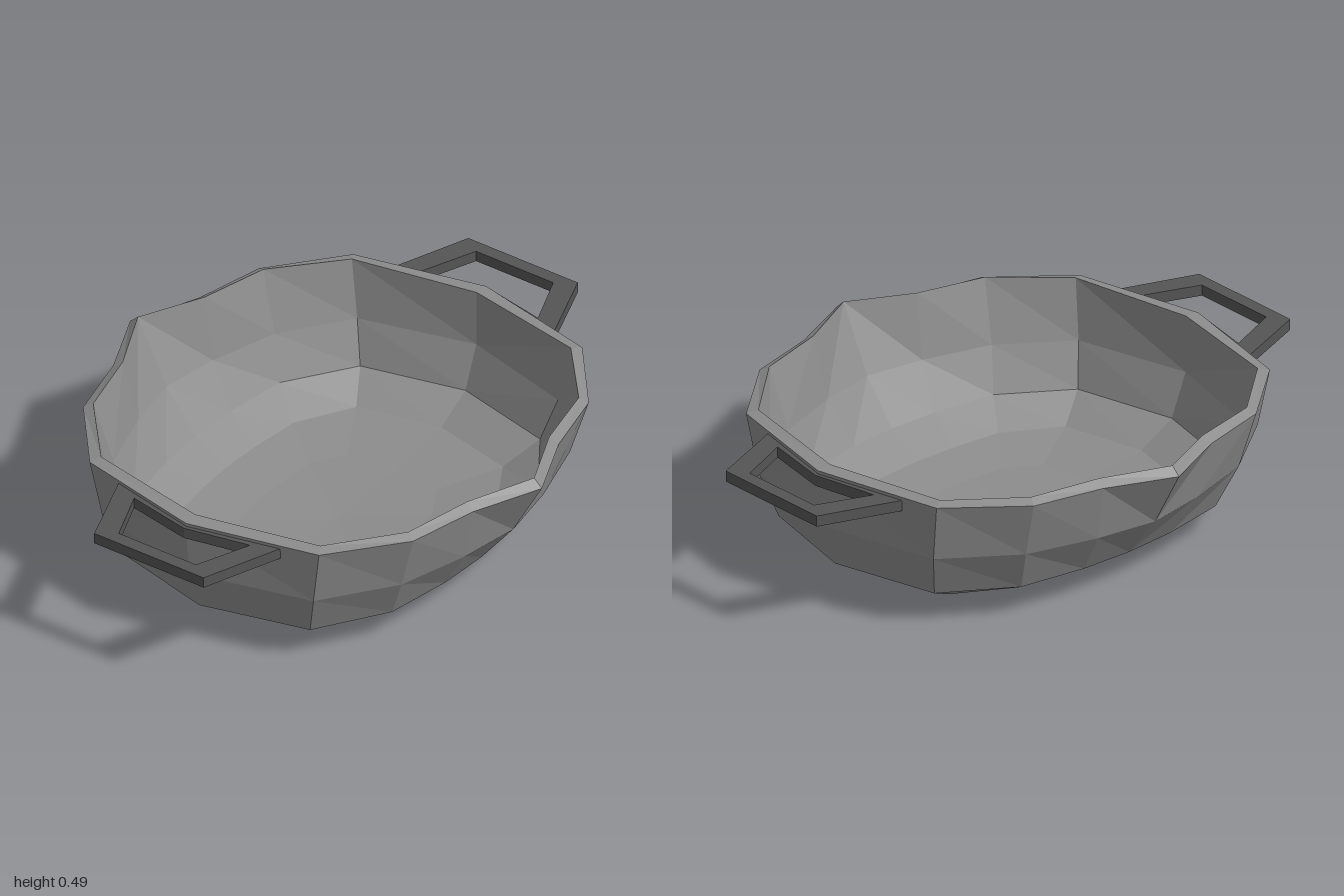
import * as THREE from 'three';

// One quadrant of a ring, from the front centre to the left side, as [x, z]
const rimOuter = [[0, 0.79], [0.23, 0.69], [0.47, 0.633], [0.704, 0.44], [0.803, 0]];
const rimInner = [[0, 0.76], [0.22, 0.66], [0.455, 0.605], [0.67, 0.42], [0.752, 0]];
const midOuter = [[0, 0.68], [0.21, 0.645], [0.45, 0.575], [0.685, 0.405], [0.787, 0]];
const midInner = [[0, 0.65], [0.2, 0.615], [0.43, 0.545], [0.65, 0.385], [0.75, 0]];
const lowOuter = [[0, 0.56], [0.18, 0.55], [0.41, 0.51], [0.64, 0.36], [0.73, 0]];
const lowInner = [[0, 0.537], [0.17, 0.528], [0.39, 0.495], [0.61, 0.345], [0.692, 0]];
const base = [[0, 0.425], [0.14, 0.418], [0.32, 0.398], [0.51, 0.287], [0.575, 0]];
const rimHeights = [0.488, 0.481, 0.476, 0.469, 0.465];

const level = (points, y) => points.map(([x, z]) => [x, y, z]);
const shrink = (points, k) => points.map(([x, z]) => [x * k, z * k]);

// Mirrors a quadrant into a closed ring of 16 points
function fullRing(quarter) {
  const ring = [];
  for (let i = 0; i < 16; i++) {
    const q = Math.floor(i / 4), k = i % 4;
    const [x, y, z] = quarter[q % 2 ? 4 - k : k];
    ring.push([q < 2 ? x : -x, y, q === 0 || q === 3 ? z : -z]);
  }
  return ring;
}

// Joins the rings with quads whose diagonals mirror from side to side
function skin(rings) {
  const positions = [];
  const triangle = (a, b, c) => positions.push(...a, ...b, ...c);
  for (let r = 0; r < rings.length - 1; r++) {
    for (let i = 0; i < 16; i++) {
      const j = (i + 1) % 16;
      const a = rings[r][i], b = rings[r][j], c = rings[r + 1][j], d = rings[r + 1][i];
      const flip = Math.floor(i / 4) % 2 === 1;
      const isCentre = (k) => rings[k][0][0] === 0 && rings[k][0][2] === 0;
      if (isCentre(r)) triangle(a, c, d);
      else if (isCentre(r + 1)) triangle(a, b, c);
      else if (flip) { triangle(a, b, d); triangle(b, c, d); }
      else { triangle(a, b, c); triangle(a, c, d); }
    }
  }
  const geometry = new THREE.BufferGeometry();
  geometry.setAttribute('position', new THREE.Float32BufferAttribute(positions, 3));
  geometry.computeVertexNormals();
  return geometry;
}

export function createModel() {
  const model = new THREE.Group();
  model.name = 'pan';
  const bowlGrey = new THREE.MeshStandardMaterial({ color: 0x8c8c8c, flatShading: true });
  bowlGrey.name = 'bowl grey';
  const handleGrey = new THREE.MeshStandardMaterial({ color: 0x555555, flatShading: true });
  handleGrey.name = 'handle dark grey';

  // Bowl with two pouring lips: up the outside, over the rim, down the inside
  const rings = [
    level(shrink(base, 0), 0),
    level(shrink(base, 0.6), 0.01),
    level(base, 0.035),
    level(lowOuter, 0.11),
    level(midOuter, 0.262),
    level(rimOuter, 0.46),
    rimInner.map(([x, z], i) => [x, rimHeights[i], z]),
    level(midInner, 0.27),
    level(lowInner, 0.128),
    level(shrink(base, 0.98), 0.06),
    level(shrink(base, 0.59), 0.037),
    level(shrink(base, 0), 0.028),
  ].map(fullRing);
  const bowl = new THREE.Mesh(skin(rings), bowlGrey);
  bowl.name = 'bowl';
  model.add(bowl);

  // Flat open handles that wrap the bowl wall
  const outline = [[0.73, 0.31], [0.775, 0], [0.73, -0.31], [1, -0.21], [1, 0.21]];
  const opening = [[0.77, 0.222], [0.814, 0], [0.77, -0.222], [0.955, -0.148], [0.955, 0.148]];
  const toVectors = (points) => points.map(([x, y]) => new THREE.Vector2(x, y));
  const shape = new THREE.Shape(toVectors(outline));
  shape.holes.push(new THREE.Path(toVectors(opening)));
  const handleGeometry = new THREE.ExtrudeGeometry(shape, { depth: 0.037, bevelEnabled: false });
  handleGeometry.rotateX(Math.PI / 2).translate(0, 0.448, 0);
  for (const [name, turn] of [['leftHandle', 0], ['rightHandle', Math.PI]]) {
    const handle = new THREE.Mesh(handleGeometry, handleGrey);
    handle.name = name;
    handle.rotation.y = turn;
    model.add(handle);
  }
  return model;
}
